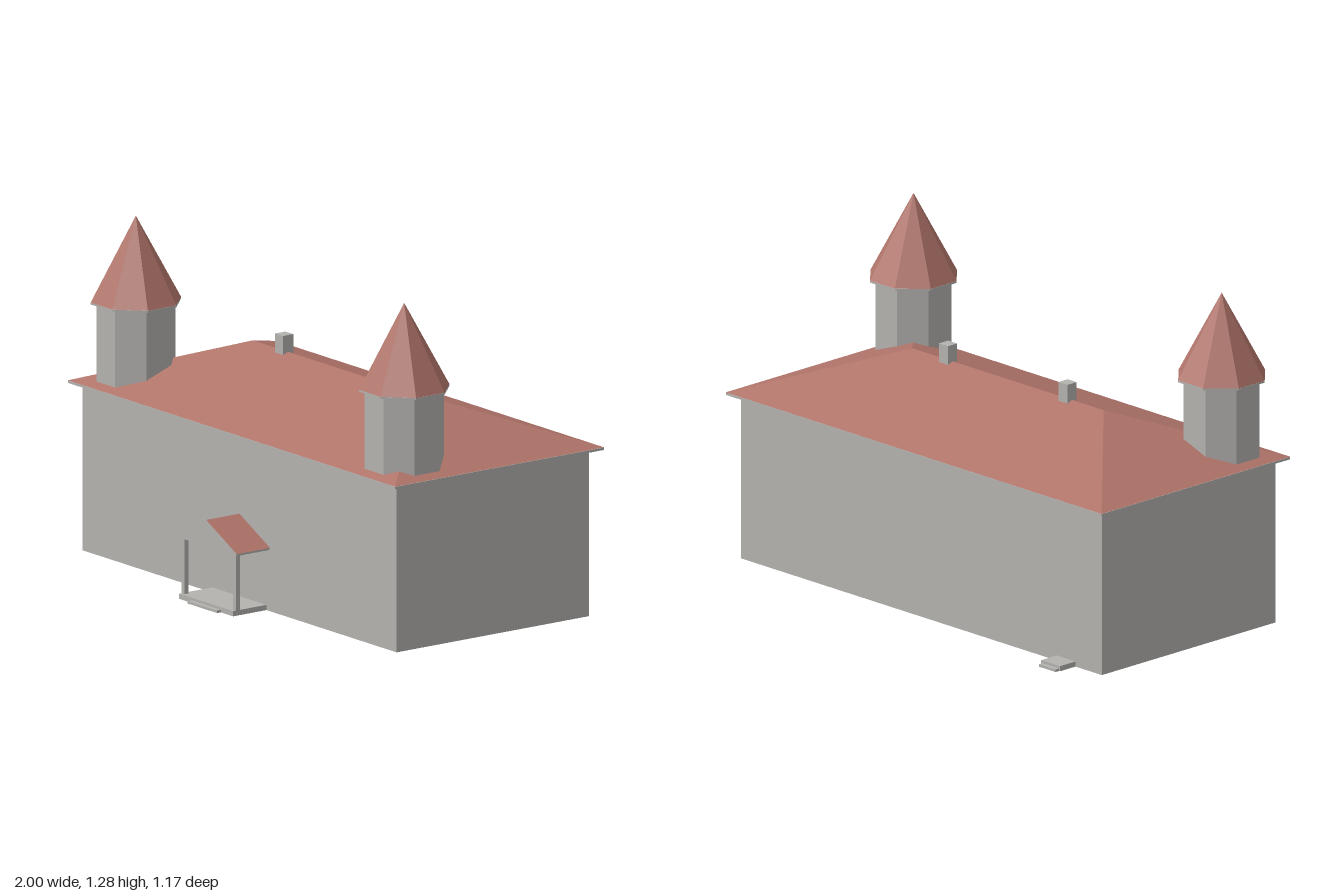
import * as THREE from 'three';

const wallGrey = new THREE.MeshStandardMaterial({ color: 0xb3b2af, side: THREE.DoubleSide });
wallGrey.name = 'wallGrey';
const roofRed = new THREE.MeshStandardMaterial({ color: 0xb0746a, side: THREE.DoubleSide });
roofRed.name = 'roofRed';

// Faceted copy of a geometry
function flat(geometry) {
  const g = geometry.index ? geometry.toNonIndexed() : geometry;
  g.computeVertexNormals();
  return g;
}

// Polygons given as corner lists, counter-clockwise from outside
function faces(polygons) {
  const p = [];
  for (const poly of polygons)
    for (let i = 1; i < poly.length - 1; i++) p.push(...poly[0], ...poly[i], ...poly[i + 1]);
  const g = new THREE.BufferGeometry();
  g.setAttribute('position', new THREE.Float32BufferAttribute(p, 3));
  return flat(g);
}

function add(parent, name, geometry, material) {
  const mesh = new THREE.Mesh(geometry, material);
  mesh.name = name;
  parent.add(mesh);
  return mesh;
}

// Box from its min and max on each axis
function block(parent, name, x0, x1, y0, y1, z0, z1) {
  const m = add(parent, name, new THREE.BoxGeometry(x1 - x0, y1 - y0, z1 - z0), wallGrey);
  m.position.set((x0 + x1) / 2, (y0 + y1) / 2, (z0 + z1) / 2);
}

function group(parent, name) {
  const g = new THREE.Group();
  g.name = name;
  parent.add(g);
  return g;
}

const rectangle = (T, x, z0, z1) => new T([
  new THREE.Vector2(-x, -z0), new THREE.Vector2(-x, -z1),
  new THREE.Vector2(x, -z1), new THREE.Vector2(x, -z0)]);

const BACK = -0.485, FRONT = 0.41, HALF = 0.96;

function addTower(parent, x) {
  const tower = group(parent, x > 0 ? 'leftTower' : 'rightTower');
  tower.position.set(x, 0, 0.268);
  tower.rotation.y = Math.PI / 8;
  const r = a => a / Math.cos(Math.PI / 8);
  const walls = add(tower, 'towerWalls',
    flat(new THREE.CylinderGeometry(r(0.14), r(0.14), 0.32, 8, 1, true)), wallGrey);
  walls.position.y = 0.8;
  const eave = add(tower, 'towerEave',
    flat(new THREE.CylinderGeometry(r(0.16), r(0.16), 0.007, 8)), wallGrey);
  eave.position.y = 0.96;
  const spire = add(tower, 'spire', flat(new THREE.ConeGeometry(r(0.16), 0.321, 8, 1, true)), roofRed);
  spire.position.y = 1.1245;
}

function addPorch(parent) {
  const porch = group(parent, 'porch');
  block(porch, 'porchFloor', -0.165, 0.165, 0, 0.02, FRONT, 0.565);
  block(porch, 'porchStep', -0.09, 0.09, 0, 0.01, 0.565, 0.583);
  for (const s of [-1, 1])
    block(porch, 'porchPost', s * 0.157 - 0.01, s * 0.157 + 0.01, 0.02, 0.235, 0.535, 0.553);
  block(porch, 'porchCeiling', -0.185, 0.185, 0.234, 0.242, FRONT, 0.565);
  const w = 0.187, y0 = 0.242, y1 = 0.335, z0 = FRONT - 0.008, z1 = 0.565;
  add(porch, 'porchRoof', faces([
    [[w, y0, z1], [w, y0, z0], [0, y1, z0], [0, y1, z1]],
    [[-w, y0, z0], [-w, y0, z1], [0, y1, z1], [0, y1, z0]],
    [[w, y0, z0], [-w, y0, z0], [0, y1, z0]],
  ]), roofRed);
  add(porch, 'porchGable', faces([[[-w, y0, z1], [w, y0, z1], [0, y1, z1]]]), wallGrey);
}

export function createModel() {
  const house = new THREE.Group();
  house.name = 'house';

  // Outer walls, open underneath and towards the roof
  const c = [[-HALF, FRONT], [HALF, FRONT], [HALF, BACK], [-HALF, BACK]];
  add(house, 'walls', faces(c.map(([x, z], i) => {
    const [u, v] = c[(i + 1) % 4];
    return [[x, 0, z], [u, 0, v], [u, 0.64, v], [x, 0.64, z]];
  })), wallGrey);

  // Projecting eave frame
  const frame = rectangle(THREE.Shape, 1, -0.525, 0.447);
  frame.holes.push(rectangle(THREE.Path, HALF, BACK, FRONT));
  const eave = add(house, 'eave',
    new THREE.ExtrudeGeometry(frame, { depth: 0.009, bevelEnabled: false }), wallGrey);
  eave.rotation.x = -Math.PI / 2;
  eave.position.y = 0.637;

  // Hipped main roof
  const y = 0.647, fl = [-1, y, 0.447], fr = [1, y, 0.447], br = [1, y, -0.525], bl = [-1, y, -0.525];
  const ra = [-0.51, 0.824, -0.04], rb = [0.51, 0.824, -0.04];
  add(house, 'mainRoof', faces([[fl, fr, rb, ra], [br, bl, ra, rb], [fr, br, rb], [bl, fl, ra]]), roofRed);

  // Towers and chimneys in mirrored pairs
  for (const s of [-1, 1]) {
    addTower(house, s * 0.82);
    block(house, 'chimney', s * 0.318 - 0.024, s * 0.318 + 0.024, 0.8, 0.888, -0.064, -0.016);
  }

  addPorch(house);

  // Back door landing
  block(house, 'backLanding', -0.82, -0.72, 0, 0.02, -0.565, BACK);
  block(house, 'backStep', -0.815, -0.728, 0, 0.01, -0.583, -0.565);
  return house;
}
